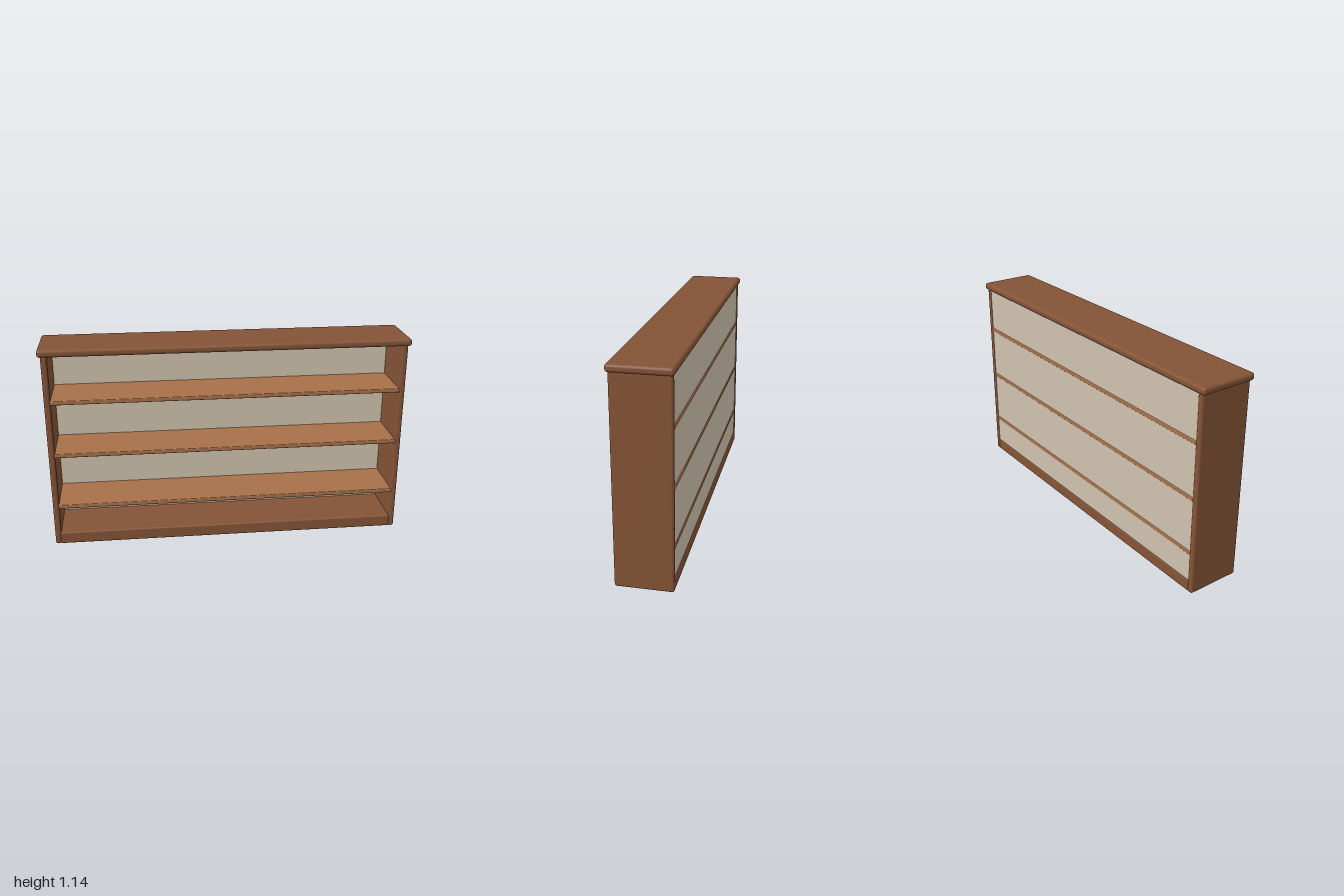
import * as THREE from 'three';
import { RoundedBoxGeometry } from 'three/addons/geometries/RoundedBoxGeometry.js';

const material = (name, color) => {
  const m = new THREE.MeshStandardMaterial({ color });
  m.name = name;
  return m;
};

export function createModel() {
  const group = new THREE.Group();
  group.name = 'bookcase';
  const darkWood = material('dark wood', 0x845336);
  const lightWood = material('light wood', 0xa8704a);
  const beige = material('beige panel', 0xcfc2ae);

  // Board with softened edges, placed by its bottom height
  const board = (name, w, h, d, r, mat, x, bottom, z = 0) => {
    const geometry = r > 0 ? new RoundedBoxGeometry(w, h, d, 4, r) : new THREE.BoxGeometry(w, h, d);
    const mesh = new THREE.Mesh(geometry, mat);
    mesh.name = name;
    mesh.position.set(x, bottom + h / 2, z);
    group.add(mesh);
  };

  // Frame: overhanging top, two sides and the base
  board('topBoard', 2, 0.04, 0.32, 0.016, darkWood, 0, 1.1);
  board('leftSide', 0.034, 1.105, 0.3, 0.012, darkWood, 0.966, 0);
  board('rightSide', 0.034, 1.105, 0.3, 0.012, darkWood, -0.966, 0);
  board('base', 1.91, 0.07, 0.298, 0.01, darkWood, 0, 0);

  // Shelves run the full depth, their rear edges showing through the back
  [0.22, 0.529, 0.834].forEach((y, i) =>
    board(`shelf${i + 1}`, 1.91, 0.023, 0.296, 0.005, lightWood, 0, y));

  // Thin back panel
  board('backPanel', 1.91, 1.05, 0.01, 0, beige, 0, 0.055, -0.14);

  return group;
}
